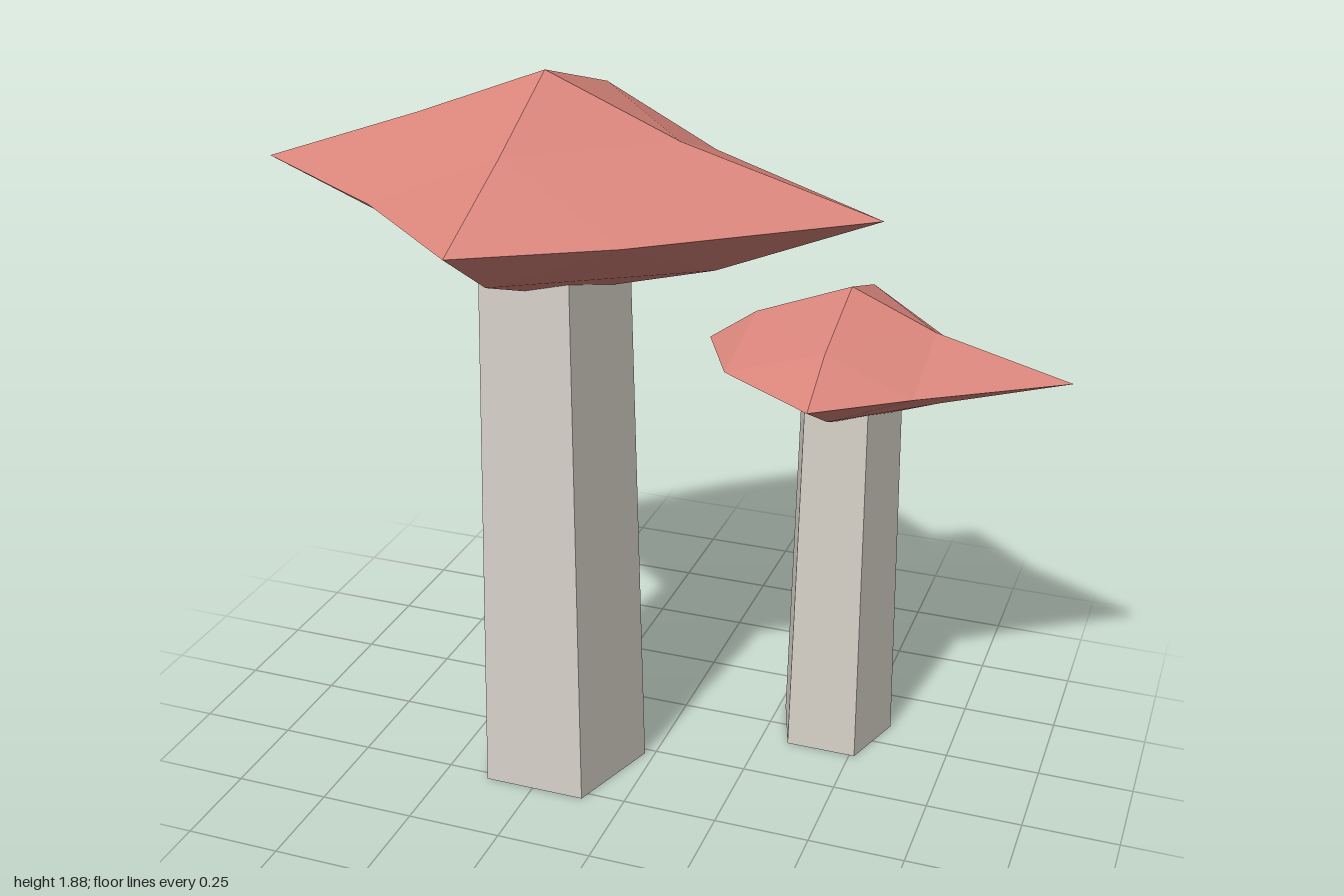
import * as THREE from 'three';

const capMaterial = new THREE.MeshStandardMaterial({ color: 0xd9857b, flatShading: true });
const stemMaterial = new THREE.MeshStandardMaterial({ color: 0xd8d3ca, flatShading: true });

// Directions in order: +x, +z, -x, -z
const DIRS = [[1, 0], [0, 1], [-1, 0], [0, -1]];

// Faceted cap: a squashed octahedron, each face split in four at uneven edge midpoints.
// All values are offsets from the cap centre; upper and lower are [distance, height].
function makeCap({ tip, base, rim, rimMid, upper, lower }) {
  const corners = DIRS.map(([x, z], i) => [x * rim[i], 0, z * rim[i]]);
  const between = rimMid.map(([x, z]) => [x, 0, z]);
  const ring = (list) => DIRS.map(([x, z], i) => [x * list[i][0], list[i][1], z * list[i][0]]);
  const pos = [];
  const tri = (flip, a, b, c) => pos.push(...a, ...(flip ? c : b), ...(flip ? b : c));
  const half = (pole, mids, flip) => {
    for (let i = 0; i < 4; i++) {
      const j = (i + 1) % 4;
      tri(flip, pole, mids[j], mids[i]);
      tri(flip, mids[i], mids[j], between[i]);
      tri(flip, mids[i], between[i], corners[i]);
      tri(flip, mids[j], corners[j], between[i]);
    }
  };
  half([0, tip, 0], ring(upper), false);
  half([0, base, 0], ring(lower), true);
  const geometry = new THREE.BufferGeometry();
  geometry.setAttribute('position', new THREE.Float32BufferAttribute(pos, 3));
  geometry.computeVertexNormals();
  return geometry;
}

function makeMushroom(name, { x, z, capY, stemTop, topRadius, bottomRadius, cap }) {
  const group = new THREE.Group();
  group.name = name;
  group.position.set(x, 0, z);

  // Five-sided tapered stem, flat side to the front
  const stem = new THREE.Mesh(
    new THREE.CylinderGeometry(topRadius, bottomRadius, stemTop, 5, 1, false, Math.PI),
    stemMaterial
  );
  stem.name = 'stem';
  stem.position.y = stemTop / 2;

  const capMesh = new THREE.Mesh(makeCap(cap), capMaterial);
  capMesh.name = 'cap';
  capMesh.position.y = capY;

  group.add(stem, capMesh);
  return group;
}

export function createModel() {
  const model = new THREE.Group();
  model.name = 'mushrooms';

  model.add(makeMushroom('largeMushroom', {
    x: -0.245, z: 0.09, capY: 1.605, stemTop: 1.47, topRadius: 0.197, bottomRadius: 0.23,
    cap: {
      tip: 0.28, base: -0.275,
      rim: [0.825, 0.58, 0.755, 0.655],
      rimMid: [[0.335, 0.385], [-0.335, 0.28], [-0.315, -0.41], [0.285, -0.43]],
      upper: [[0.335, 0.14], [0.275, 0.14], [0.335, 0.15], [0.4, 0.16]],
      lower: [[0.425, -0.165], [0.37, -0.135], [0.355, -0.155], [0.51, -0.155]],
    },
  }));

  model.add(makeMushroom('smallMushroom', {
    x: 0.42, z: -0.29, capY: 1.115, stemTop: 1.04, topRadius: 0.14, bottomRadius: 0.16,
    cap: {
      tip: 0.185, base: -0.185,
      rim: [0.57, 0.4, 0.375, 0.385],
      rimMid: [[0.22, 0.235], [-0.265, 0.22], [-0.25, -0.26], [0.215, -0.195]],
      upper: [[0.22, 0.09], [0.25, 0.095], [0.25, 0.088], [0.24, 0.11]],
      lower: [[0.24, -0.1], [0.2, -0.105], [0.21, -0.105], [0.24, -0.11]],
    },
  }));

  return model;
}
